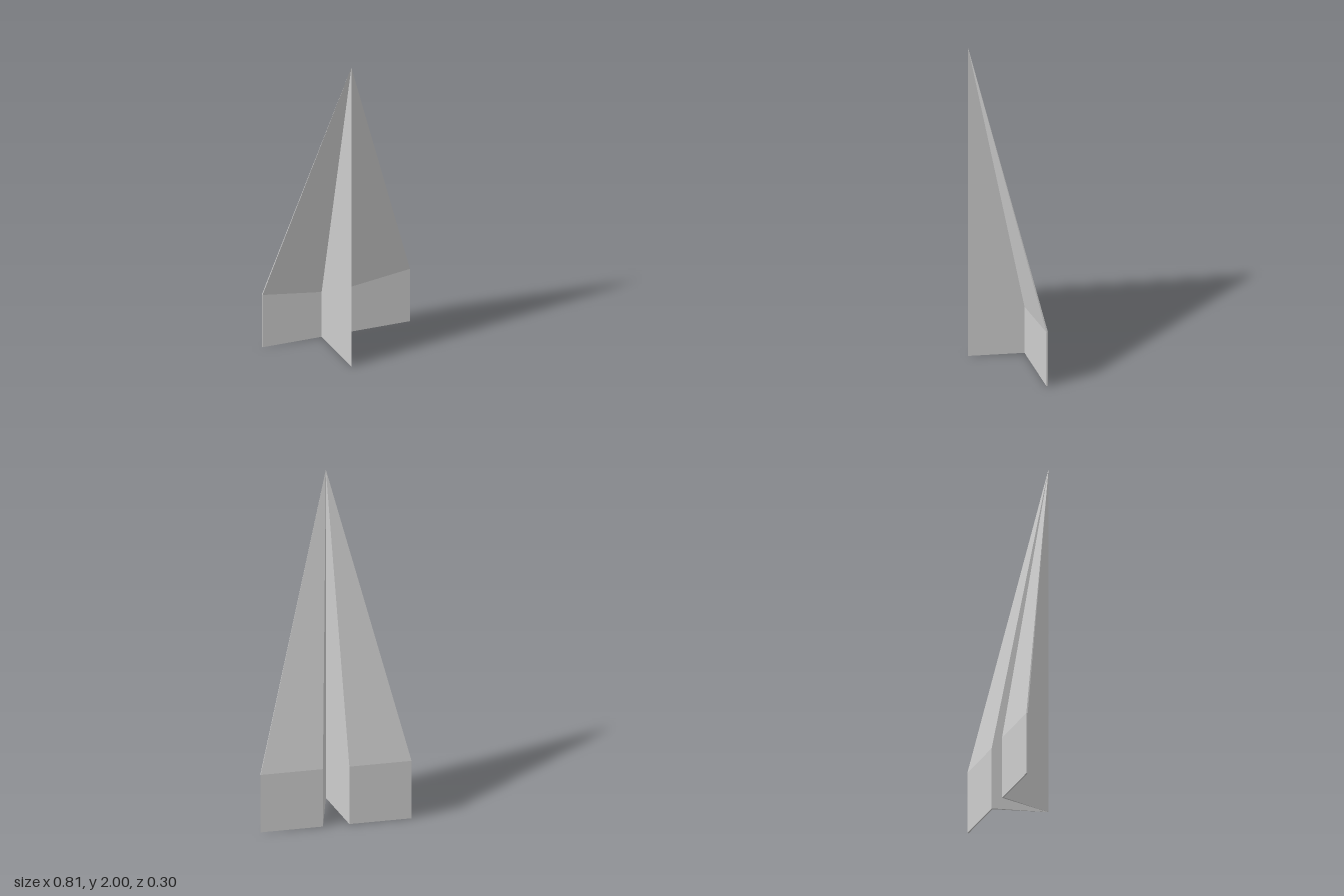
import * as THREE from 'three';

// Corner lines of one half of the folded sheet, each listed from tail to shoulder to nose.
const LINES = {
  foldOuter: [[0, 0, 0.148], [0, 0.35, 0.148], [0, 2, 0.148]],
  creaseOuter: [[0.08, 0, -0.14], [0.08, 0.3, -0.14], [0, 1.9, 0.148]],
  tipFront: [[0.405, 0, -0.14], [0.405, 0.35, -0.14], [0, 2, 0.148]],
  tipBack: [[0.405, 0, -0.148], [0.405, 0.35, -0.148], [0, 2, 0.148]],
  creaseInner: [[0.071, 0, -0.148], [0.071, 0.35, -0.148], [0, 2, 0.148]],
  foldInner: [[0, 0, 0.146], [0, 0.35, 0.146], [0, 2, 0.148]],
};

// Skins neighbouring corner lines and closes the tail edge, for side = 1 (left) or -1 (right).
function sheetGeometry(strips, tail, side) {
  const positions = [];
  const triangle = (a, b, c) => {
    const corners = side > 0 ? [a, b, c] : [a, c, b];
    const v = corners.map(([x, y, z]) => new THREE.Vector3(x * side, y, z));
    const area = v[1].clone().sub(v[0]).cross(v[2].clone().sub(v[0])).length();
    if (area < 1e-7) return; // strips collapse at the nose
    v.forEach((p) => positions.push(p.x, p.y, p.z));
  };
  const quad = (a, b, c, d) => {
    triangle(a, b, c);
    triangle(a, c, d);
  };
  for (const [from, to] of strips) {
    const p = LINES[from];
    const q = LINES[to];
    for (let i = 0; i < 2; i++) quad(p[i], q[i], q[i + 1], p[i + 1]);
  }
  quad(...tail.map((name) => LINES[name][0]));
  const geometry = new THREE.BufferGeometry();
  geometry.setAttribute('position', new THREE.Float32BufferAttribute(positions, 3));
  geometry.computeVertexNormals();
  return geometry;
}

export function createModel() {
  const model = new THREE.Group();
  model.name = 'paperPlane';
  const paper = new THREE.MeshStandardMaterial({
    color: 0xcccccc, flatShading: true, side: THREE.DoubleSide,
  });

  for (const [label, side] of [['left', 1], ['right', -1]]) {
    // Keel wall running from the front fold back to the wing crease
    const keel = new THREE.Mesh(sheetGeometry(
      [['foldOuter', 'creaseOuter'], ['creaseInner', 'foldInner']],
      ['foldInner', 'creaseInner', 'creaseOuter', 'foldOuter'], side), paper);
    keel.name = `${label}Keel`;

    // Wing panel with its thin outer edge
    const wing = new THREE.Mesh(sheetGeometry(
      [['creaseOuter', 'tipFront'], ['tipFront', 'tipBack'], ['tipBack', 'creaseInner']],
      ['creaseInner', 'tipBack', 'tipFront', 'creaseOuter'], side), paper);
    wing.name = `${label}Wing`;

    model.add(keel, wing);
  }
  return model;
}
